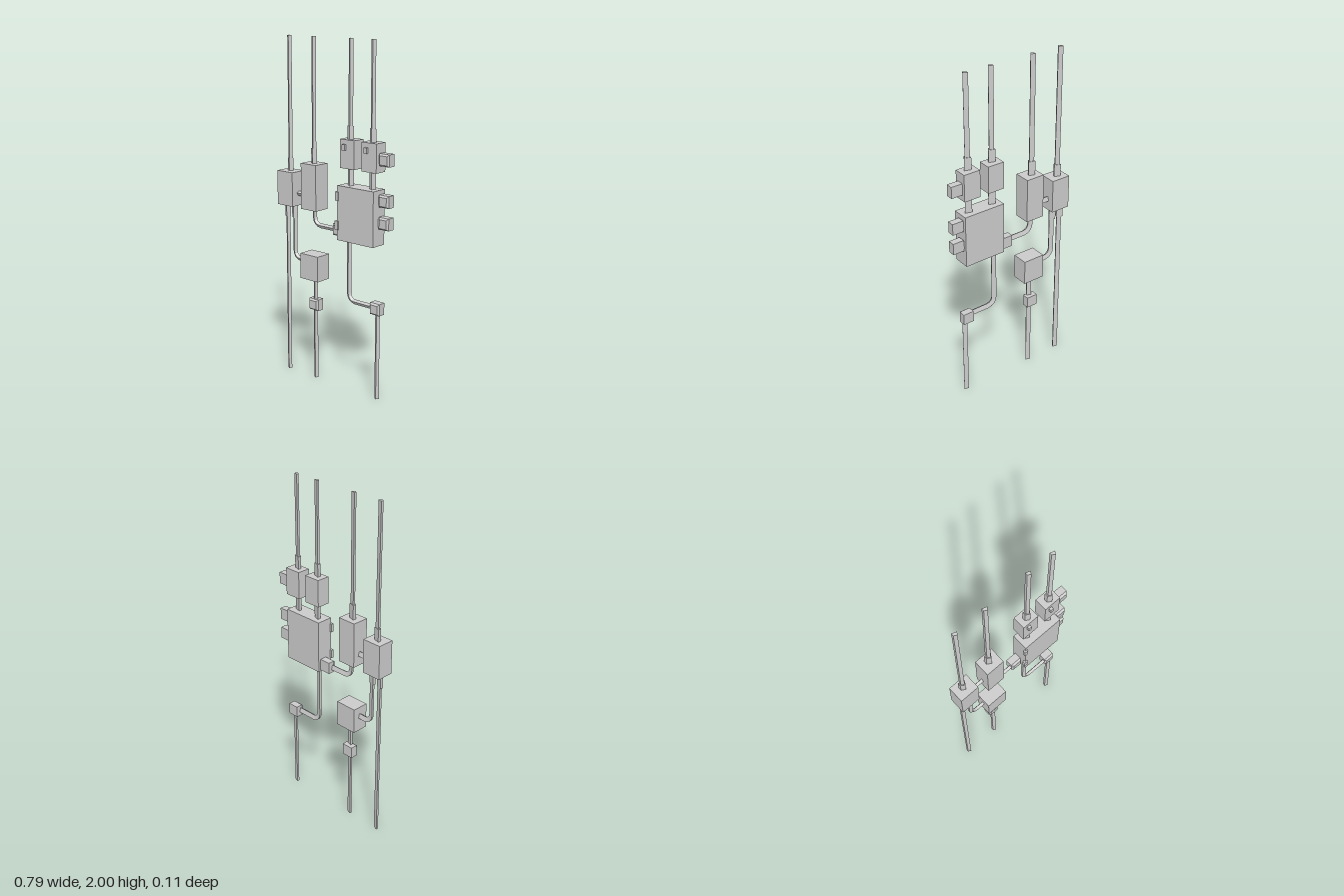
import * as THREE from 'three';

const material = new THREE.MeshStandardMaterial({ color: 0xcccccc, flatShading: true });

// Lopsided four-sided conduit section: [across, depth]
const SECTION = [[0.02, -0.004], [0.006, 0.018], [-0.018, 0.004], [-0.018, -0.016]];
const PIPE = 0.72, COLLAR = 1, AXIS_Z = -0.008;

// Sweeps the section along a path lying in the wall plane
function sweep(path, scale) {
  const rings = path.map(([x, y], i) => {
    const a = path[Math.max(i - 1, 0)], b = path[Math.min(i + 1, path.length - 1)];
    const len = Math.hypot(b[0] - a[0], b[1] - a[1]);
    const tx = (b[0] - a[0]) / len, ty = (b[1] - a[1]) / len;
    return SECTION.map(([u, z]) => [x - ty * u * scale, y + tx * u * scale, AXIS_Z + z * scale]);
  });
  const pos = [];
  const quad = (a, b, c, d) => pos.push(...a, ...b, ...c, ...a, ...c, ...d);
  for (let i = 0; i < rings.length - 1; i++) {
    for (let k = 0; k < 4; k++) {
      const n = (k + 1) % 4;
      quad(rings[i][k], rings[i][n], rings[i + 1][n], rings[i + 1][k]);
    }
  }
  const [s, e] = [rings[0], rings[rings.length - 1]];
  quad(s[0], s[3], s[2], s[1]);
  quad(e[0], e[1], e[2], e[3]);
  const geometry = new THREE.BufferGeometry();
  geometry.setAttribute('position', new THREE.Float32BufferAttribute(pos, 3));
  geometry.computeVertexNormals();
  return geometry;
}

// Path that drops from the start, turns in a small arc and runs to the right
function elbow(x0, y0, x1, y1, r = 0.045) {
  const path = [[x0, y0]];
  for (let i = 0; i <= 4; i++) {
    const a = (i / 4) * Math.PI / 2;
    path.push([x0 + r - r * Math.cos(a), y1 + r - r * Math.sin(a)]);
  }
  path.push([x1, y1]);
  return path;
}

function box(x0, x1, y0, y1, z0, z1) {
  return new THREE.BoxGeometry(x1 - x0, y1 - y0, z1 - z0)
    .translate((x0 + x1) / 2, (y0 + y1) / 2, (z0 + z1) / 2);
}

// Small box whose front edges are chamfered
function chamferedBox(x0, x1, y0, y1) {
  const g = new THREE.BoxGeometry(x1 - x0, y1 - y0, 1, 1, 1, 2);
  const p = g.attributes.position;
  for (let i = 0; i < p.count; i++) {
    const z = p.getZ(i);
    if (z > 0.4) p.setXY(i, p.getX(i) * 0.72, p.getY(i) * 0.72);
    p.setZ(i, z > 0.4 ? 0.013 : z < -0.4 ? -0.04 : 0.001);
  }
  g.translate((x0 + x1) / 2, (y0 + y1) / 2, 0);
  g.computeVertexNormals();
  return g;
}

export function createModel() {
  const model = new THREE.Group();
  model.name = 'conduitAssembly';
  const add = (name, geometry) => {
    const mesh = new THREE.Mesh(geometry, material);
    mesh.name = name;
    model.add(mesh);
  };
  const pipe = (name, ...path) => add(name, sweep(path, PIPE));
  const collar = (name, x, top, bottom) => add(name, sweep([[x, top], [x, bottom]], COLLAR));
  const BACK = -0.054, FRONT = 0.044;

  // Main boxes
  add('rightJunctionBox', box(-0.396, -0.278, 1.03, 1.23, BACK, FRONT));
  add('tallJunctionBox', box(-0.21, -0.096, 1.03, 1.295, BACK, FRONT));
  add('lowerJunctionBox', box(-0.218, -0.084, 0.615, 0.765, BACK, FRONT));
  add('mainCabinet', box(0.064, 0.319, 0.895, 1.205, BACK, FRONT));

  // Feeds from the top, each entering its box through a collar
  for (const [x, y] of [[-0.339, 1.23], [-0.155, 1.295], [0.115, 1.46], [0.27, 1.46]]) {
    pipe('upperPipe', [x, 2], [x, y + 0.06]);
    collar('upperCollar', x, y + (y === 1.295 ? 0.085 : 0.073), y - 0.01);
  }

  // Twin switch boxes above the cabinet
  for (const x of [0.064, 0.218]) {
    add('switchBox', box(x, x + 0.102, 1.3, 1.46, BACK, 0.023));
    add('switchLever', box(x + 0.025, x + 0.045, 1.402, 1.434, 0.02, 0.038));
    collar('cabinetCollar', x + 0.053, 1.31, 1.195);
  }

  // Knobs on the cabinet side
  for (const y of [1.373, 1.149, 1.026]) {
    add('knobNeck', box(0.31, 0.33, y - 0.024, y + 0.024, -0.036, 0.0));
    add('sideKnob', chamferedBox(0.324, 0.392, y - 0.034, y + 0.034));
  }

  // Hinges at the cabinet's front edge
  for (const y of [1.145, 0.98]) add('hinge', box(0.053, 0.075, y - 0.025, y + 0.025, 0.035, 0.052));

  // Pipes leaving the right junction box
  pipe('linkPipe', [-0.29, 1.102], [-0.2, 1.102]);
  collar('lowerCollar', -0.364, 1.04, 0.955);
  collar('lowerCollar', -0.309, 1.04, 0.955);
  pipe('longDropPipe', [-0.362, 0.97], [-0.362, 0]);
  pipe('lowerElbowPipe', ...elbow(-0.307, 0.97, -0.2, 0.71));

  // Drop below the lower box, through a coupling
  pipe('middleDropPipe', [-0.146, 0.63], [-0.146, 0]);
  add('middleCoupling', chamferedBox(-0.187, -0.118, 0.422, 0.49));

  // Pipe from the tall box into the cabinet
  pipe('cabinetElbowPipe', ...elbow(-0.15, 1.04, 0.01, 0.937));
  add('cabinetCoupling', chamferedBox(-0.003, 0.066, 0.904, 0.972));

  // Pipe from the cabinet to the left drop
  pipe('leftElbowPipe', ...elbow(0.108, 0.905, 0.28, 0.538));
  add('leftCoupling', chamferedBox(0.27, 0.337, 0.498, 0.566));
  pipe('leftDropPipe', [0.315, 0.51], [0.315, 0]);

  return model;
}
